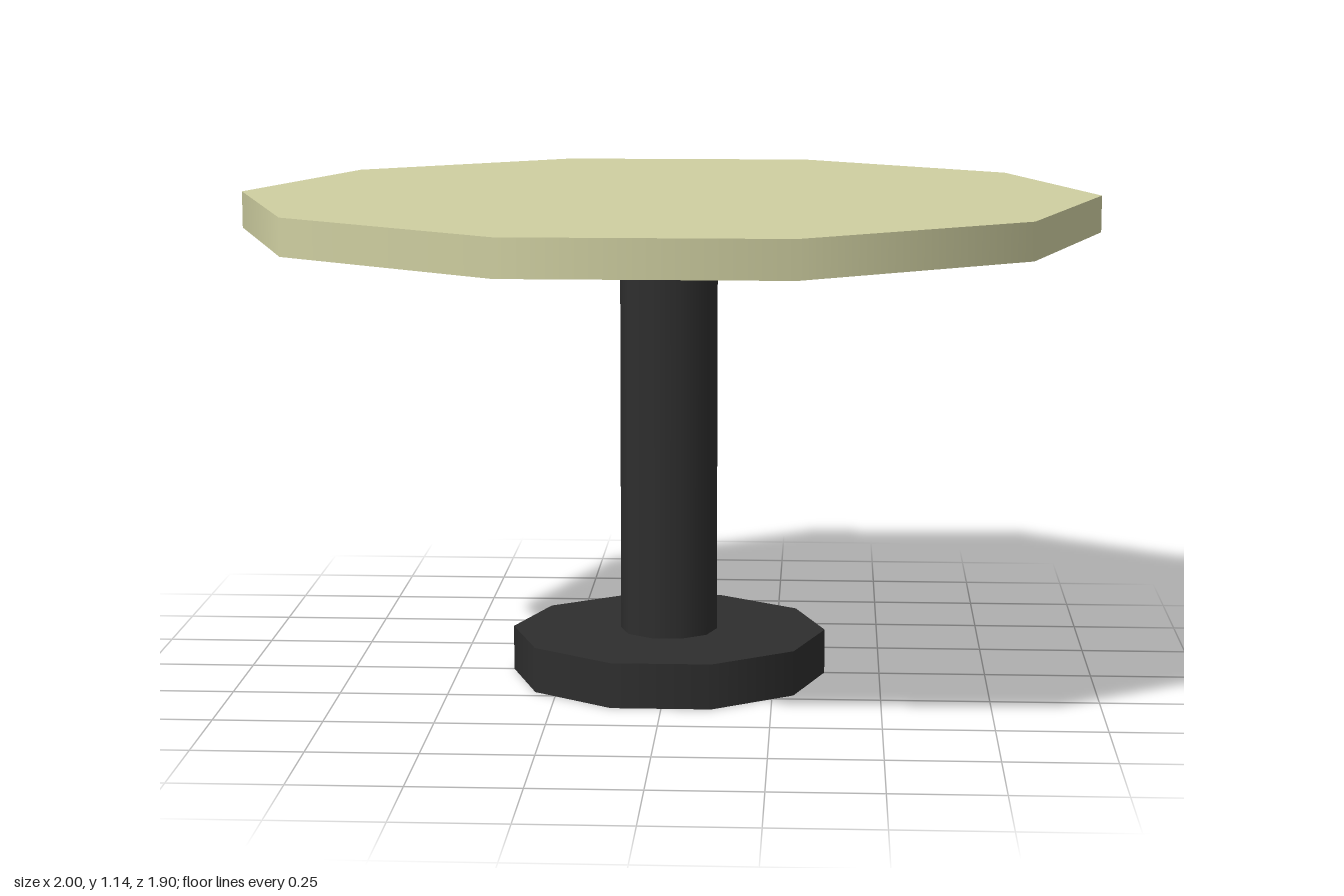
import * as THREE from 'three';

const SIDES = 10;

export function createModel() {
  const cream = new THREE.MeshStandardMaterial({ color: 0xcfcfa1, side: THREE.DoubleSide });
  cream.name = 'cream';
  const charcoal = new THREE.MeshStandardMaterial({ color: 0x2e2e2e, side: THREE.DoubleSide });
  charcoal.name = 'charcoal';

  const table = new THREE.Group();
  table.name = 'roundTable';

  function add(name, geometry, material, y) {
    const mesh = new THREE.Mesh(geometry, material);
    mesh.name = name;
    mesh.position.y = y;
    table.add(mesh);
  }

  // Open ten-sided wall with corners on the x axis
  function wall(name, radius, bottom, top, material) {
    const geometry = new THREE.CylinderGeometry(
      radius, radius, top - bottom, SIDES, 1, true, Math.PI / 2);
    add(name, geometry, material, (bottom + top) / 2);
  }

  // Flat ten-sided disc facing up or down
  function disc(name, radius, y, material, facing = 1) {
    const geometry = new THREE.CircleGeometry(radius, SIDES).rotateX(-facing * Math.PI / 2);
    add(name, geometry, material, y);
  }

  // Table top: hollow underneath, with a hanging rim
  disc('tableTop', 1, 1.14, cream);
  wall('tableRim', 1, 1.055, 1.14, cream);

  // Central column
  wall('column', 0.114, 0.105, 1.055, charcoal);

  // Foot with a pale underside
  wall('footRim', 0.37, 0, 0.105, charcoal);
  disc('footTop', 0.37, 0.105, charcoal);
  disc('footUnderside', 0.37, 0, cream, -1);

  return table;
}
